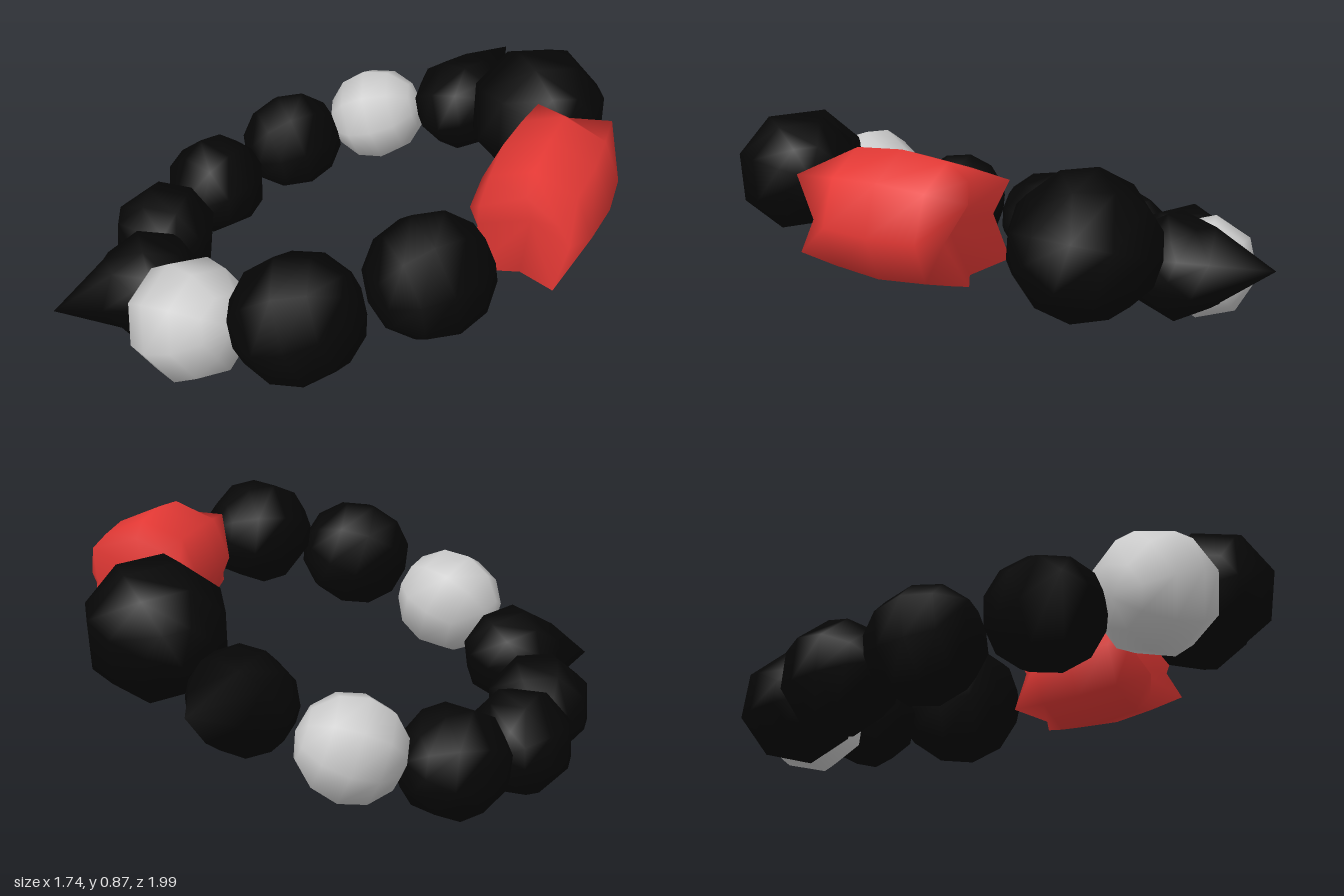
import * as THREE from 'three';
import { mergeVertices } from 'three/addons/utils/BufferGeometryUtils.js';

const BLACK = 0x060606, GREY = 0xcccccc, RED = 0xe53935;

// Weld the seam of a reshaped sphere and smooth its normals
function weld(geo) {
  geo.deleteAttribute('uv');
  geo.deleteAttribute('normal');
  const out = mergeVertices(geo, 1e-4);
  out.computeVertexNormals();
  return out;
}

// Coarse sphere; with a tip length, the +x side is drawn out into a cone
function roundBead(r, tip = 0) {
  const geo = new THREE.SphereGeometry(r, 8, 6);
  const p = geo.attributes.position, v = new THREE.Vector3();
  const half = THREE.MathUtils.degToRad(48);
  const k = tip ? r * Math.sin(half) / (tip - r * Math.cos(half)) : 0;
  for (let i = 0; tip && i < p.count; i++) {
    v.fromBufferAttribute(p, i).normalize();
    const a = Math.acos(THREE.MathUtils.clamp(v.x, -1, 1));
    if (a < half) v.multiplyScalar(k * tip / (Math.sin(a) + k * v.x));
    else v.multiplyScalar(r);
    p.setXYZ(i, v.x, v.y, v.z);
  }
  return weld(geo);
}

// Barrel with dented ends and four pointed corners on each rim
function barrelBead() {
  const geo = new THREE.SphereGeometry(1, 8, 6);
  const p = geo.attributes.position;
  const radius = [0, 0.165, 0.2, 0.215], height = [0.15, 0.265, 0.16, 0];
  for (let i = 0; i < p.count; i++) {
    const row = Math.floor(i / 9), k = Math.min(row, 6 - row);
    const phi = (i % 9) * Math.PI / 4;
    const corner = k === 1 ? -Math.cos(4 * phi) : 0;
    const r = radius[k] + 0.015 * corner;
    const h = height[k] + 0.035 * corner;
    p.setXYZ(i, r * Math.cos(phi) * -1, row < 3 ? h : -h, r * Math.sin(phi));
  }
  return weld(geo);
}

export function createModel() {
  const group = new THREE.Group();
  group.name = 'beadBracelet';

  // Beads in order round the loop: centre, radius, colour, optional tip offset
  const beads = [
    { name: 'barrelBead', at: [0.66, 0.68, 0.04], color: RED },
    { name: 'largeBlackBead', at: [0.475, 0.615, -0.485], r: 0.243, color: BLACK },
    { name: 'backSpikeBead', at: [0.13, 0.46, -0.66], r: 0.18, color: BLACK, tip: [0.06, 0.065, -0.34] },
    { name: 'backGreyBead', at: [-0.21, 0.33, -0.635], r: 0.182, color: GREY },
    { name: 'blackBead', at: [-0.495, 0.24, -0.45], r: 0.193, color: BLACK },
    { name: 'blackBead', at: [-0.665, 0.2, -0.13], r: 0.188, color: BLACK },
    { name: 'blackBead', at: [-0.69, 0.21, 0.215], r: 0.188, color: BLACK },
    { name: 'frontSpikeBead', at: [-0.55, 0.28, 0.545], r: 0.188, color: BLACK, tip: [-0.26, -0.04, 0.215] },
    { name: 'frontGreyBead', at: [-0.265, 0.41, 0.765], r: 0.205, color: GREY },
    { name: 'blackBead', at: [0.125, 0.578, 0.785], r: 0.214, color: BLACK },
    { name: 'blackBead', at: [0.465, 0.695, 0.575], r: 0.204, color: BLACK },
  ];
  const centres = beads.map((b) => new THREE.Vector3(...b.at));
  const middle = new THREE.Vector3(-0.05, 0.42, 0.04);

  beads.forEach((b, i) => {
    const n = beads.length;
    const outward = b.tip ? new THREE.Vector3(...b.tip) : centres[i].clone().sub(middle);
    const length = outward.length();
    const geo = b.r ? roundBead(b.r, b.tip ? length : 0) : barrelBead();
    const mesh = new THREE.Mesh(geo, new THREE.MeshStandardMaterial({ color: b.color }));
    mesh.name = b.name;
    mesh.position.copy(centres[i]);
    if (b.r) {
      // Bead axis follows the string, local +x points out of the loop
      const x = outward.normalize();
      const y = centres[(i + 1) % n].clone().sub(centres[(i + n - 1) % n]);
      const z = x.clone().cross(y).normalize();
      y.crossVectors(z, x);
      mesh.quaternion.setFromRotationMatrix(new THREE.Matrix4().makeBasis(x, y, z));
    } else {
      mesh.rotation.x = Math.PI / 2;
    }
    group.add(mesh);
  });
  return group;
}
